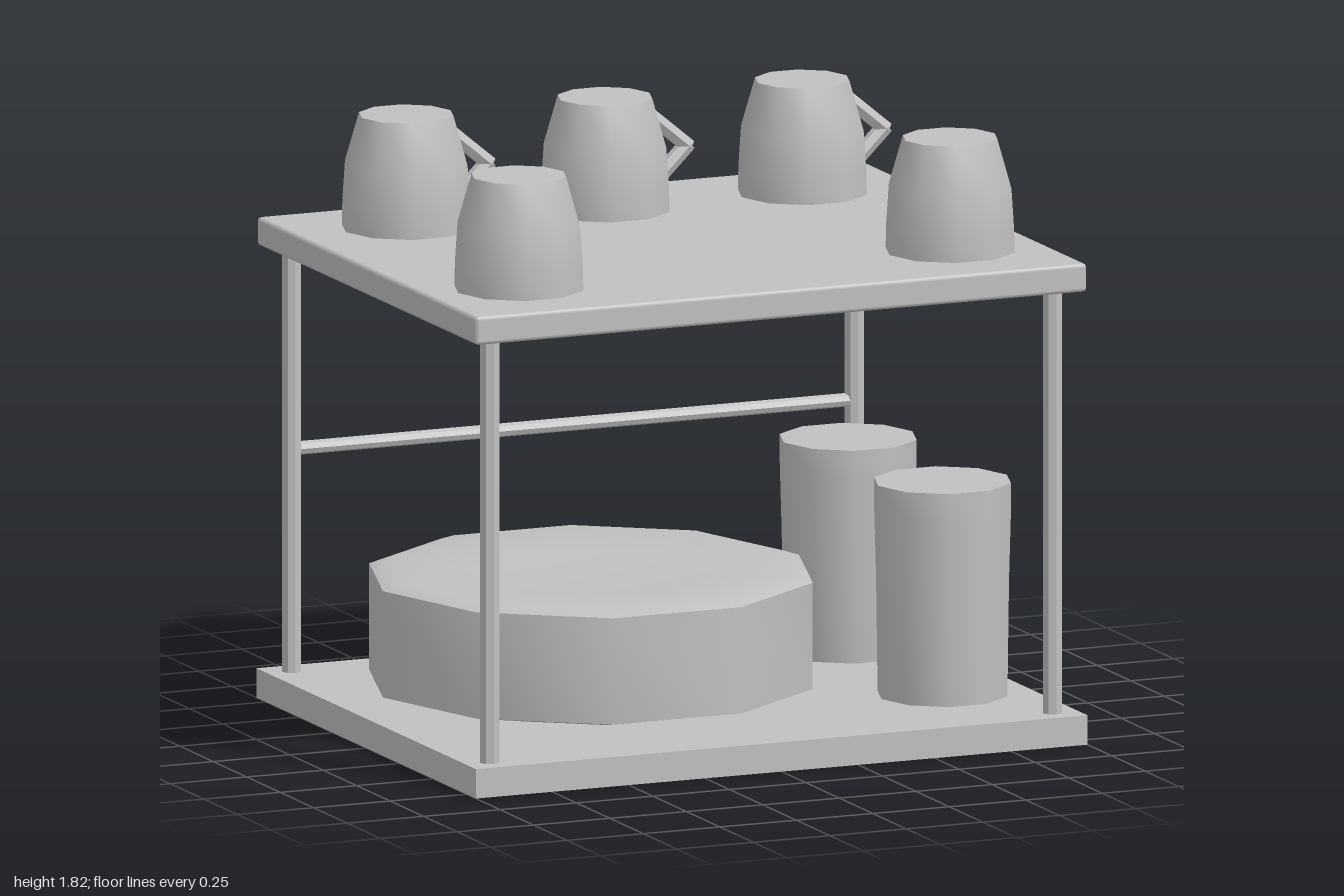
import * as THREE from 'three';
import { toCreasedNormals } from 'three/addons/utils/BufferGeometryUtils.js';
import { RoundedBoxGeometry } from 'three/addons/geometries/RoundedBoxGeometry.js';

const grey = new THREE.MeshStandardMaterial({ color: 0xc0c0c0 });
grey.name = 'plain grey';

function add(parent, name, geometry, x = 0, y = 0, z = 0) {
  const mesh = new THREE.Mesh(geometry, grey);
  mesh.name = name;
  mesh.position.set(x, y, z);
  parent.add(mesh);
  return mesh;
}

// Ten-sided turned shape with a corner on the x axis; profile runs bottom to top
function turned(profile) {
  const points = profile.map(([r, y]) => new THREE.Vector2(r, y));
  return toCreasedNormals(new THREE.LatheGeometry(points, 10, Math.PI / 2), 0.7);
}

// Straight faceted rod between two points
function rod(parent, name, a, b, radius, sides) {
  const from = new THREE.Vector3(...a), to = new THREE.Vector3(...b);
  const dir = to.clone().sub(from);
  const geometry = toCreasedNormals(new THREE.CylinderGeometry(radius, radius, dir.length(), sides), 0.5);
  const mesh = add(parent, name, geometry);
  mesh.position.copy(from).add(to).multiplyScalar(0.5);
  mesh.quaternion.setFromUnitVectors(new THREE.Vector3(0, 1, 0), dir.normalize());
}

// Closed rectangle outline centred on the origin
function rectangle(PathType, w, d) {
  return new PathType([[-w, -d], [w, -d], [w, d], [-w, d]].map(([x, y]) => new THREE.Vector2(x / 2, y / 2)));
}

export function createModel() {
  const model = new THREE.Group();
  model.name = 'dishRack';

  // Lower shelf: a thin rim around a panel, hollow underneath
  const rim = rectangle(THREE.Shape, 2, 1.64);
  rim.holes.push(rectangle(THREE.Path, 1.96, 1.6));
  const rimGeometry = new THREE.ExtrudeGeometry(rim, { depth: 0.09, bevelEnabled: false });
  rimGeometry.rotateX(-Math.PI / 2);
  add(model, 'lowerShelfRim', rimGeometry);
  add(model, 'lowerShelfPanel', new THREE.BoxGeometry(1.96, 0.03, 1.6), 0, 0.075, 0);

  // Upper shelf with slightly eased edges
  add(model, 'upperShelf', new RoundedBoxGeometry(2, 0.087, 1.64, 1, 0.012), 0, 1.4275, 0);

  // Corner posts and the rail across the back
  for (const x of [-0.92, 0.92])
    for (const z of [-0.74, 0.74])
      rod(model, 'post', [x, 0.07, z], [x, 1.42, z], 0.031, 8);
  rod(model, 'backRail', [-0.92, 0.77, -0.74], [0.92, 0.77, -0.74], 0.021, 8);

  // Wide shallow bowl with a slightly dished top
  add(model, 'bowl', turned([
    [0, 0.085], [0.4, 0.092], [0.68, 0.15], [0.68, 0.475],
    [0.62, 0.495], [0.35, 0.475], [0, 0.468],
  ]), -0.265, 0, 0);

  // Tall tumblers
  const tumbler = turned([[0, 0.085], [0.199, 0.085], [0.204, 0.45], [0.21, 0.66], [0.21, 0.743], [0, 0.743]]);
  for (const z of [-0.352, 0.353]) add(model, 'tumbler', tumbler, 0.73, 0, z);

  // Upturned cups; the back row has pointed handles
  const cup = turned([[0, 0], [0.198, 0], [0.196, 0.08], [0.188, 0.2], [0.145, 0.349], [0, 0.349]]);
  const places = [[-0.65, -0.5, true], [0, -0.5, true], [0.645, -0.5, true], [-0.705, 0.467, false], [0.705, 0.467, false]];
  for (const [x, z, handled] of places) {
    const group = new THREE.Group();
    group.name = 'cup';
    group.position.set(x, 1.467, z);
    model.add(group);
    add(group, 'cupBody', cup);
    if (handled) {
      rod(group, 'upperHandle', [0.14, 0.285, 0], [0.272, 0.175, 0], 0.025, 6);
      rod(group, 'lowerHandle', [0.17, 0.085, 0], [0.272, 0.185, 0], 0.025, 6);
    }
  }
  return model;
}
